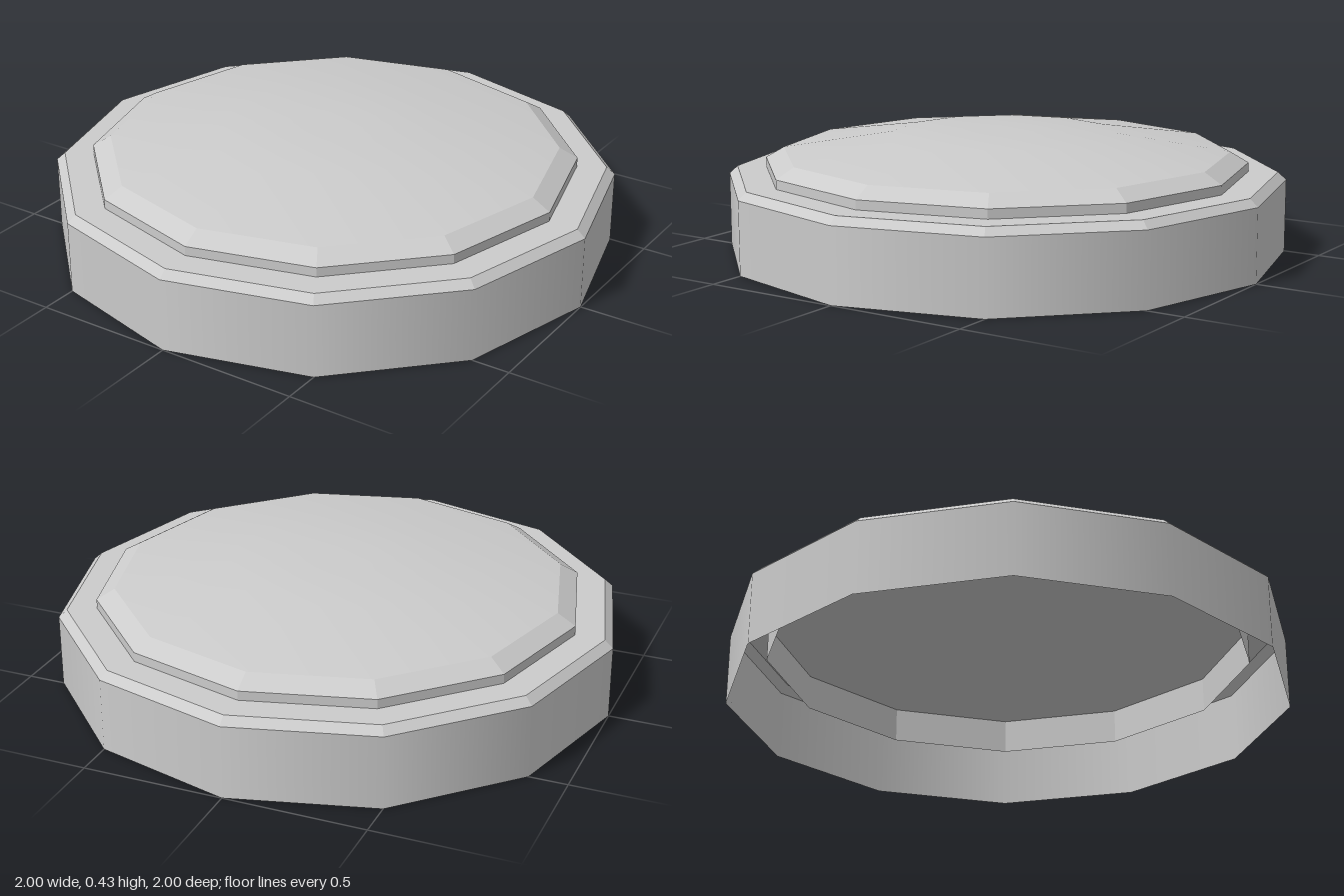
import * as THREE from 'three';

const SIDES = 12;

export function createModel() {
  const model = new THREE.Group();
  const smooth = new THREE.MeshStandardMaterial({ color: 0xcccccc, side: THREE.DoubleSide });
  const faceted = smooth.clone();
  faceted.flatShading = true;

  // Turn a [radius, height] profile into a twelve-sided surface
  const turn = (name, profile, material, parent) => {
    const points = profile.map(([r, y]) => new THREE.Vector2(r, y));
    const mesh = new THREE.Mesh(new THREE.LatheGeometry(points, SIDES), material);
    mesh.name = name;
    parent.add(mesh);
  };

  // Open-bottomed housing: separate bands keep the rims sharp
  const housing = new THREE.Group();
  housing.name = 'housing';
  turn('outerWall', [[1, 0], [1, 0.26]], smooth, housing);
  turn('rimBevel', [[1, 0.26], [0.97, 0.287]], faceted, housing);
  turn('rimTop', [[0.97, 0.287], [0.865, 0.287]], faceted, housing);

  // Raised cap with a collar hanging down inside the housing
  const cap = new THREE.Group();
  cap.name = 'cap';
  turn('collar', [[0.865, 0.17], [0.865, 0.32]], faceted, cap);
  turn('capBevel', [[0.865, 0.32], [0.8, 0.358]], faceted, cap);
  turn('dome', [[0.8, 0.358], [0.4, 0.42], [0.11, 0.426], [0, 0.426]], smooth, cap);
  turn('capFloor', [[0, 0.3], [0.865, 0.3]], faceted, cap);

  model.add(housing, cap);
  return model;
}
